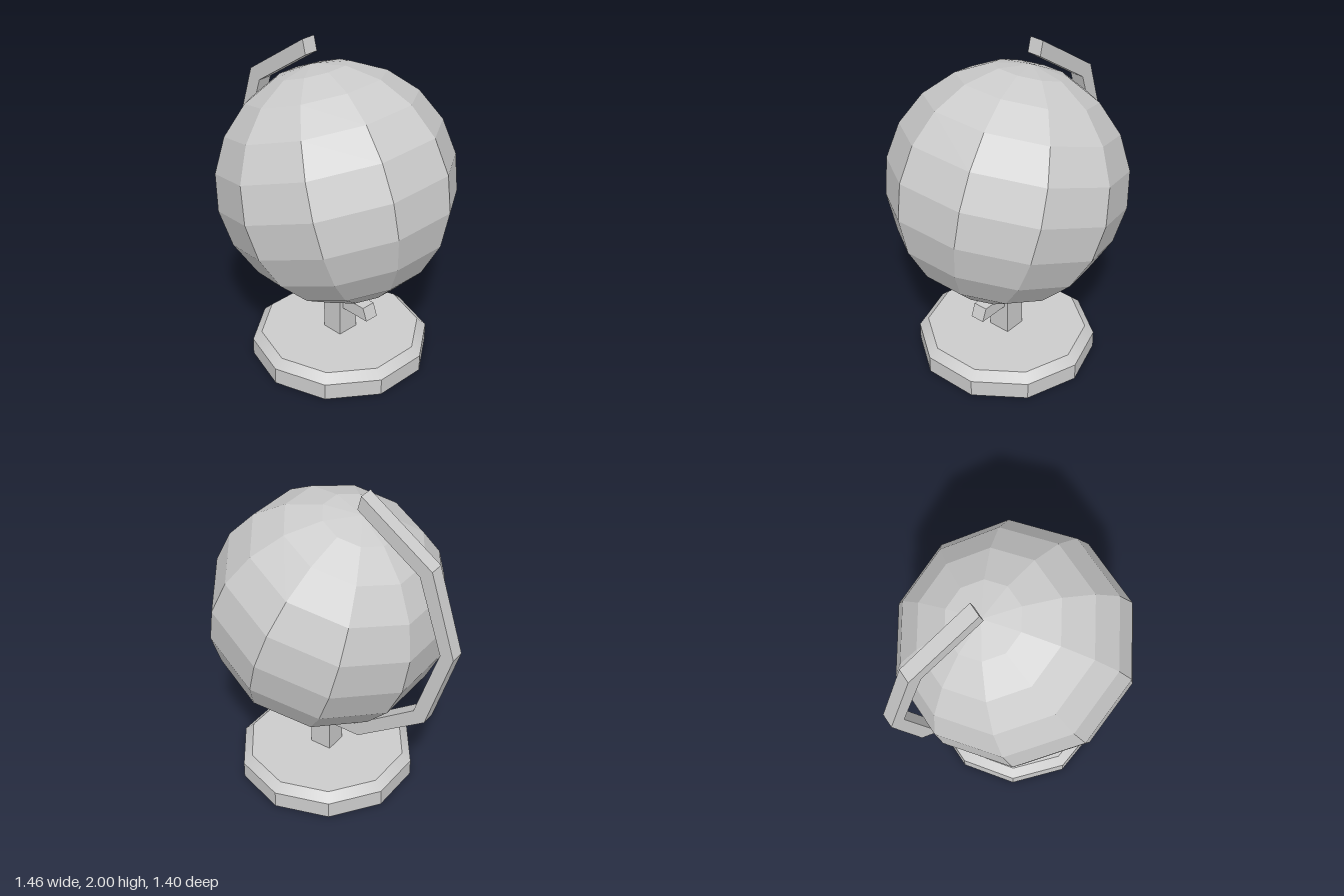
import * as THREE from 'three';

const flat = new THREE.MeshStandardMaterial({ color: 0xcccccc, flatShading: true });
const smooth = new THREE.MeshStandardMaterial({ color: 0xcccccc });

const SIDES = 10;
const MID_Y = 1.17; // height of the globe's centre

function add(parent, name, geometry, y = 0, material = flat) {
  const mesh = new THREE.Mesh(geometry, material);
  mesh.name = name;
  mesh.position.y = y;
  parent.add(mesh);
  return mesh;
}

export function createModel() {
  const group = new THREE.Group();
  group.name = 'deskGlobe';

  // Everything is built with the arm in the xy plane, then turned as one
  const turned = new THREE.Group();
  turned.name = 'turnedAssembly';
  turned.position.set(0.05, 0, 0);
  turned.rotation.y = -Math.PI / 6;
  group.add(turned);

  // Ten-sided foot with a softly shaded bevel
  const foot = new THREE.Group();
  foot.name = 'foot';
  turned.add(foot);
  add(foot, 'footRim', new THREE.CylinderGeometry(0.545, 0.545, 0.105, SIDES, 1, true), 0.0525);
  add(foot, 'footBevel', new THREE.CylinderGeometry(0.49, 0.545, 0.05, SIDES, 1, true), 0.13, smooth);
  add(foot, 'footTop', new THREE.CircleGeometry(0.49, SIDES, Math.PI / 2).rotateX(-Math.PI / 2), 0.155);
  add(foot, 'footUnderside', new THREE.CircleGeometry(0.545, SIDES, Math.PI / 2).rotateX(Math.PI / 2));

  // Square post
  add(turned, 'post', new THREE.BoxGeometry(0.139, 0.26, 0.139), 0.28);

  // Angular arm: mirrored above and below the globe's centre, with a straight tail over the post
  const outer = [[-0.263, 0.83], [-0.719, 0.515], [-0.88, 0]];
  const inner = [[-0.24, 0.74], [-0.644, 0.46], [-0.795, 0]];
  const mirrored = (pts) => pts.slice(0, 2).reverse().map(([x, y]) => [x, -y]);
  const outline = [
    ...outer, ...mirrored(outer), [0.27, -0.83],
    [0.24, -0.75], [-0.236, -0.75], [-0.644, -0.46], ...[...inner].reverse(),
  ];
  const shape = new THREE.Shape(outline.map(([x, y]) => new THREE.Vector2(x, y)));
  const armGeometry = new THREE.ExtrudeGeometry(shape, { depth: 0.09, bevelEnabled: false });
  add(turned, 'arm', armGeometry.translate(0, 0, -0.045), MID_Y);

  // Faceted ball, tilted towards the arm
  const ball = add(turned, 'globe', new THREE.SphereGeometry(0.714, SIDES, 10).rotateY(Math.PI / 2), MID_Y);
  ball.position.x = -0.016;
  ball.position.z = 0.008;
  ball.rotation.z = THREE.MathUtils.degToRad(17.8);

  return group;
}
